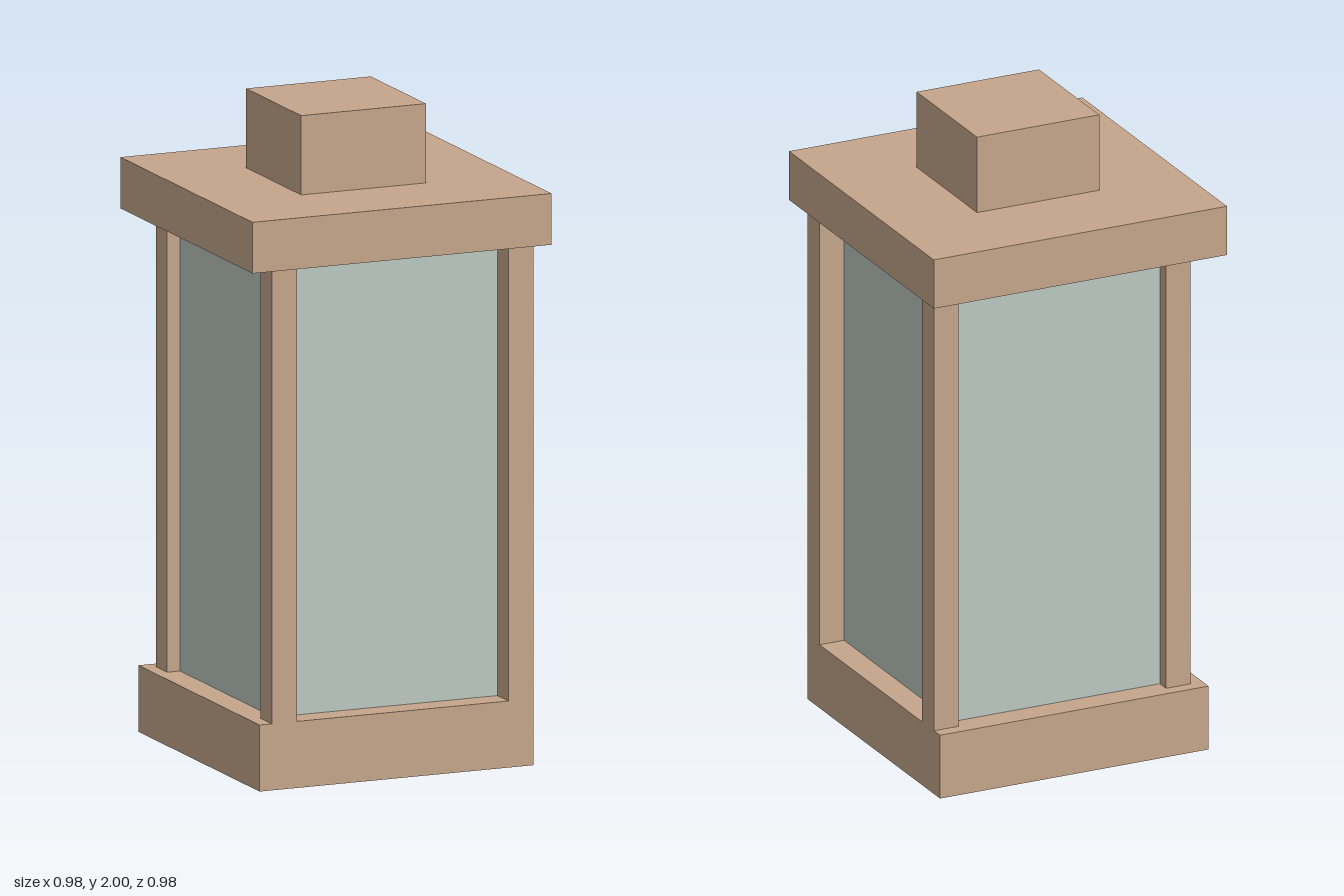
import * as THREE from 'three';

export function createModel() {
  const model = new THREE.Group();
  model.name = 'lantern';

  const wood = new THREE.MeshStandardMaterial({ color: 0xc4a58a });
  wood.name = 'tan wood';
  const glass = new THREE.MeshStandardMaterial({ color: 0xbbc8c1 });
  glass.name = 'pale green glass';

  // Square block of a given width, from height y0 to y1
  function block(name, width, y0, y1, material, x = 0, z = 0) {
    const mesh = new THREE.Mesh(new THREE.BoxGeometry(width, y1 - y0, width), material);
    mesh.position.set(x, (y0 + y1) / 2, z);
    mesh.name = name;
    model.add(mesh);
  }

  const baseTop = 0.204, capBottom = 1.6, capTop = 1.757;

  block('base', 0.896, 0, baseTop, wood);
  block('glassBody', 0.732, baseTop, capBottom, glass);
  block('cap', 0.978, capBottom, capTop, wood);
  block('topKnob', 0.408, capTop, 2, wood);

  // Corner posts, flush with the base on the +x and +z sides, set in on the others
  for (const x of [-0.367, 0.407]) {
    for (const z of [-0.367, 0.407]) {
      block('cornerPost', 0.082, baseTop, capBottom, wood, x, z);
    }
  }

  return model;
}
